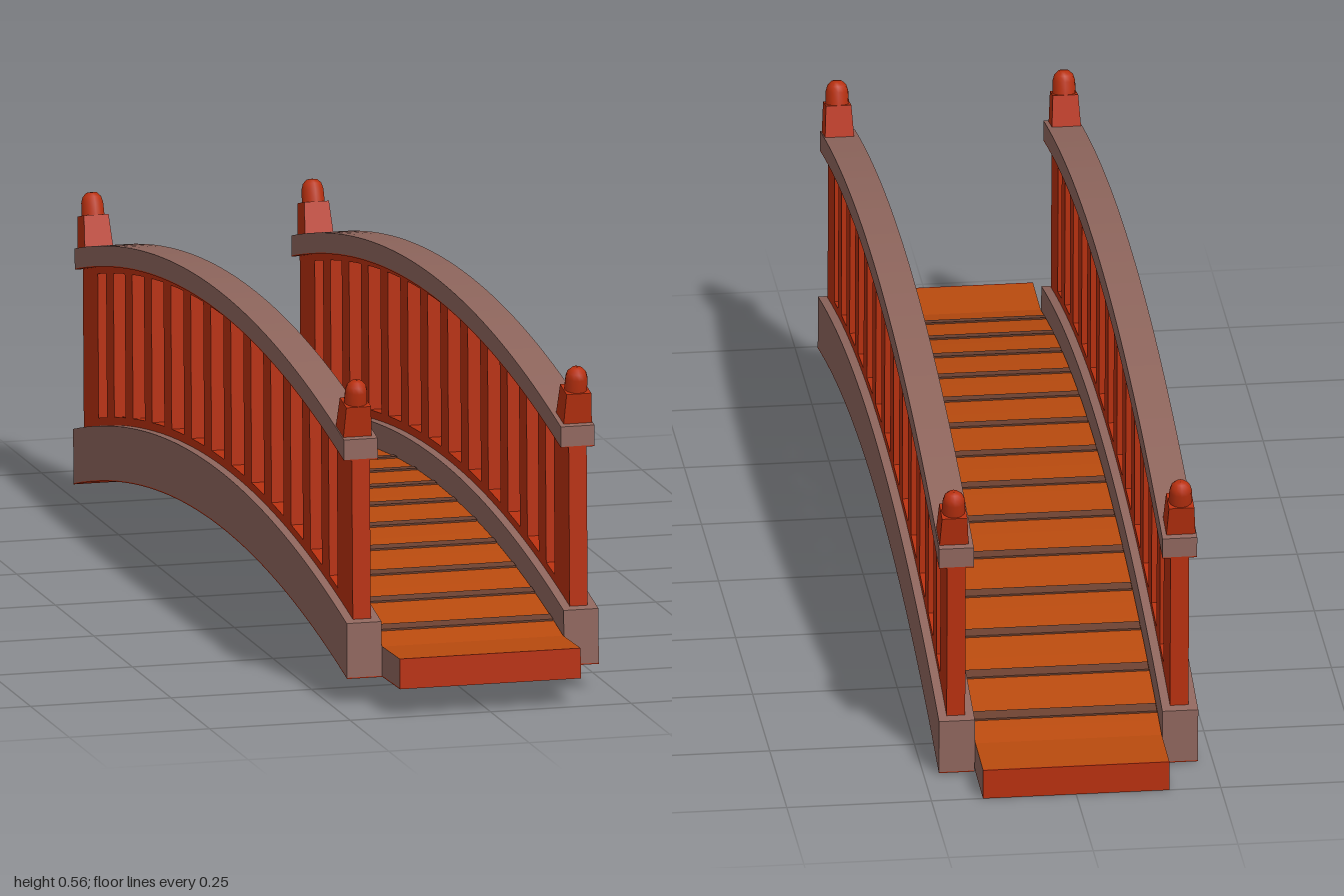
import * as THREE from 'three';

const mat = (color) => new THREE.MeshStandardMaterial({ color });
const red = mat(0xb8300f), stone = mat(0x8f665d), wood = mat(0xb84a0e), dark = mat(0x6b4030);

const SPAN = 0.887; // half length of the arch; flat beyond it
const arc = (z) => 0.11 * (1 - Math.min(1, (z / SPAN) ** 2));

// Closed outline between two arched curves from z0 to z1
function outline(z0, z1, bottom, top, steps, Type = THREE.Shape) {
  const zs = [];
  for (let i = 0; i <= steps; i++) zs.push(z0 + ((z1 - z0) * i) / steps);
  if (z1 > SPAN) zs.push(SPAN, -SPAN);
  zs.sort((a, b) => a - b);
  const lower = zs.map((z) => new THREE.Vector2(z, bottom + arc(z)));
  const upper = zs.map((z) => new THREE.Vector2(z, top + arc(z))).reverse();
  return new Type([...lower, ...upper]);
}

// Side-on shape given a width across x, centred at x
function across(name, shape, x, width, material) {
  const geo = new THREE.ExtrudeGeometry(shape, { depth: width, bevelEnabled: false });
  geo.translate(0, 0, -width / 2).rotateY(-Math.PI / 2);
  const mesh = new THREE.Mesh(geo, material);
  mesh.name = name;
  mesh.position.x = x;
  return mesh;
}

const band = (name, half, bottom, top, x, width, material) =>
  across(name, outline(-half, half, bottom, top, 40), x, width, material);

// Evenly spaced along the arch: end posts and twelve balusters
const stations = Array.from({ length: 14 }, (_, i) => {
  const t = (i - 6.5) / 6.5;
  return 0.845 * t - 0.03 * t ** 3;
});

// Balustrade panel with an opening between each pair of posts
function balustrade(x) {
  const shape = outline(-0.872, 0.872, 0.115, 0.405, 40);
  for (let i = 0; i < 13; i++) {
    const z0 = stations[i] + (i === 0 ? 0.04 : 0.024);
    const z1 = stations[i + 1] - (i === 12 ? 0.04 : 0.024);
    shape.holes.push(outline(z0, z1, 0.138, 0.39, 4, THREE.Path));
  }
  return across('balustrade', shape, x, 0.032, red);
}

// Tapered block with a rounded cap, leaning outward with the rail
function finial(x, end) {
  const g = new THREE.Group();
  g.name = 'finial';
  const block = new THREE.CylinderGeometry(0.031, 0.036, 0.06, 4).rotateY(Math.PI / 4).toNonIndexed();
  block.computeVertexNormals();
  const base = new THREE.Mesh(block, red);
  base.name = 'finialBase';
  base.position.y = 0.024;
  const profile = [[0.0205, 0.05], [0.0195, 0.076], [0.0165, 0.086], [0.0095, 0.093], [0, 0.094]];
  const dome = new THREE.LatheGeometry(profile.map((p) => new THREE.Vector2(...p)), 12);
  const cap = new THREE.Mesh(dome, red);
  cap.name = 'finialCap';
  g.add(base, cap);
  const z = end * 0.838;
  g.position.set(x, 0.439 + arc(z), z);
  g.rotation.x = end * 0.235;
  return g;
}

export function createModel() {
  const model = new THREE.Group();
  model.name = 'archedBridge';
  const bridge = new THREE.Group();
  bridge.name = 'bridge';
  model.add(bridge);

  // Walkway with stone sides and red underside
  bridge.add(band('deck', 0.997, 0.029, 0.08, 0, 0.322, [stone, wood]));
  bridge.add(band('deckUnderside', 0.997, 0.027, 0.029, 0, 0.322, red));

  // Narrow cross strips on the walkway
  for (const z of stations) {
    const w = 0.011;
    const shape = outline(z - w, z + w, 0.078, 0.083, 2);
    bridge.add(across('crossStrip', shape, 0, 0.32, dark));
  }

  for (const s of [1, -1]) {
    // Red end face of the walkway
    const face = new THREE.Mesh(new THREE.BoxGeometry(0.322, 0.053, 0.003), red);
    face.name = 'deckEnd';
    face.position.set(0, 0.0535, s * 0.9985);
    bridge.add(face);

    // Side beam, balustrade and handrail
    bridge.add(band('sideBeam', SPAN, 0.029, 0.124, s * 0.193, 0.062, stone));
    bridge.add(band('beamUnderside', SPAN, 0.027, 0.029, s * 0.193, 0.062, red));
    bridge.add(balustrade(s * 0.193));
    bridge.add(band('handrail', 0.873, 0.404, 0.439, s * 0.193, 0.06, stone));
    bridge.add(band('handrailUnderside', 0.873, 0.402, 0.404, s * 0.193, 0.06, red));
    for (const end of [1, -1]) bridge.add(finial(s * 0.196, end));
  }

  // The whole bridge slopes gently up toward the front
  bridge.rotation.x = -0.0245;
  bridge.position.y = -0.0025;
  return model;
}
